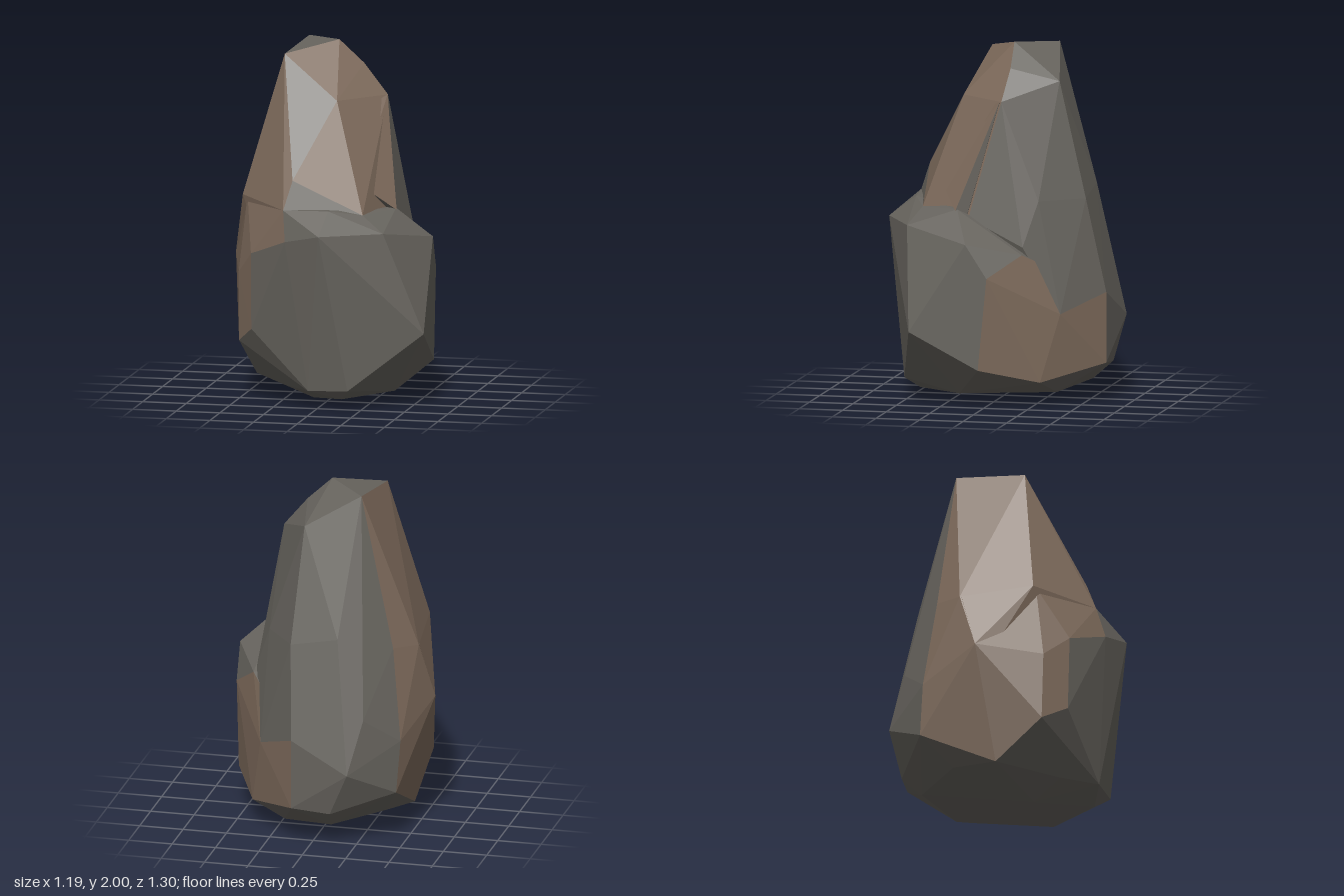
import * as THREE from 'three';
import { ConvexGeometry } from 'three/addons/geometries/ConvexGeometry.js';

const stone = new THREE.MeshStandardMaterial({ color: 0x66635d, flatShading: true });
const earth = new THREE.MeshStandardMaterial({ color: 0x7d6a5b, flatShading: true });

// Corner points of the wide lower boulder, from the sloping shoulder down
const boulderCorners = [
  [-0.46, 1.15, 0.23], [-0.19, 1.12, 0.52], [0.06, 1.12, 0.49], [0.24, 1.09, 0.41], [0.38, 1.1, 0.18],
  [-0.53, 1.1, -0.18], [0.47, 1.0, 0.12],
  [0.04, 1.0, 0.65], [0.37, 1.0, 0.47], [0.57, 0.93, 0.09], [0.56, 0.74, -0.03], [0.42, 0.86, -0.2],
  [-0.17, 0.95, 0.57], [-0.4, 0.85, 0.41], [-0.5, 0.72, 0.28], [-0.55, 0.83, 0.05], [-0.6, 0.77, -0.09],
  [-0.48, 0.6, -0.41], [-0.23, 0.45, -0.65], [0.1, 0.62, -0.61], [0.33, 0.52, -0.4],
  [0.59, 0.43, 0.41], [-0.4, 0.42, 0.4], [-0.5, 0.33, 0.27], [-0.46, 0.3, -0.43],
  [0.56, 0.22, 0.02], [0.1, 0.22, -0.61], [-0.12, 0.2, -0.6], [0.4, 0.14, -0.3],
];

// Corner points of the underside
const footCorners = [
  [-0.46, 0.1, 0.0], [-0.2, 0.09, 0.32], [-0.05, 0.1, 0.51], [0.18, 0.11, 0.53], [0.13, 0.05, 0.45],
  [0.37, 0.06, 0.17], [0.2, 0.06, -0.35], [-0.1, 0.1, -0.49], [-0.36, 0.13, -0.26], [-0.1, 0.0, 0.15],
];

// Corner points of the tapering spire, from the tip down into the boulder
const spireCorners = [
  [0, 2.0, -0.06], [-0.22, 1.98, -0.27], [-0.27, 1.94, 0.13], [0.09, 1.8, -0.34], [0.14, 1.87, -0.07],
  [0.28, 1.7, -0.05], [0.05, 1.7, 0.22], [-0.15, 1.28, 0.46], [0.15, 1.28, 0.35], [0.36, 1.05, 0.12],
  [0.37, 1.03, -0.06], [0.31, 1.15, -0.27], [0.13, 1.15, -0.5], [-0.14, 1.2, -0.5], [-0.42, 1.12, -0.34],
  [-0.53, 1.1, -0.19], [-0.49, 1.15, 0.22], [-0.19, 1.12, 0.52], [0.24, 1.09, 0.41],
  [0.4, 0.9, -0.2], [0.33, 0.52, -0.4], [-0.3, 0.75, -0.55],
  [-0.55, 0.83, 0.05], [-0.6, 0.77, -0.09], [-0.48, 0.6, -0.41], [-0.23, 0.45, -0.65], [0.1, 0.62, -0.61],
  [-0.35, 0.8, 0.3], [0, 0.4, 0.4],
];

// Flake overhanging the hollow on the right flank of the spire
const flakeCorners = [
  [0.28, 1.7, -0.04], [0.1, 1.6, 0.17], [0.385, 1.09, 0.19], [0.36, 1.06, 0.13],
  [0.2, 1.25, 0.32], [0.1, 1.1, 0.1],
];

// Weathered brown facets: left flank, front of the spire, low patch on the right back
function isEarth(n, c) {
  if (Math.abs(n.y) > 0.75 || n.y < -0.5) return false;
  if (n.x < -0.6 && n.z > -0.6) return true;
  // the hollow below the tip stays bare stone
  if (c.y > 1.5 && c.y < 1.8 && c.x > -0.2 && c.x < -0.05) return false;
  if (c.y > 1.2 && n.z > 0.2) return true;
  return n.x > 0.35 && n.z < -0.25 && c.y > 0.25 && c.y < 0.75;
}

// Chisels one block and sorts its facets into stone and earth
function rockBlock(name, corners) {
  const hull = new ConvexGeometry(corners.map((p) => new THREE.Vector3(...p)));
  const pos = hull.attributes.position;
  const facets = { stone: [], earth: [] };
  const tri = new THREE.Triangle();
  const n = new THREE.Vector3();
  const mid = new THREE.Vector3();
  for (let i = 0; i < pos.count; i += 3) {
    tri.setFromAttributeAndIndices(pos, i, i + 1, i + 2);
    tri.getNormal(n);
    tri.getMidpoint(mid);
    const list = isEarth(n, mid) ? facets.earth : facets.stone;
    for (const v of [tri.a, tri.b, tri.c]) list.push(v.x, v.y, v.z);
  }
  const block = new THREE.Group();
  block.name = name;
  for (const [kind, material] of [['stone', stone], ['earth', earth]]) {
    if (!facets[kind].length) continue;
    const g = new THREE.BufferGeometry();
    g.setAttribute('position', new THREE.Float32BufferAttribute(facets[kind], 3));
    g.computeVertexNormals();
    const mesh = new THREE.Mesh(g, material);
    mesh.name = `${name} ${kind} facets`;
    block.add(mesh);
  }
  return block;
}

export function createModel() {
  const rock = new THREE.Group();
  rock.name = 'rock';
  rock.add(
    rockBlock('boulder', [...boulderCorners, ...footCorners]),
    rockBlock('spire', spireCorners),
    rockBlock('flake', flakeCorners),
  );
  return rock;
}
